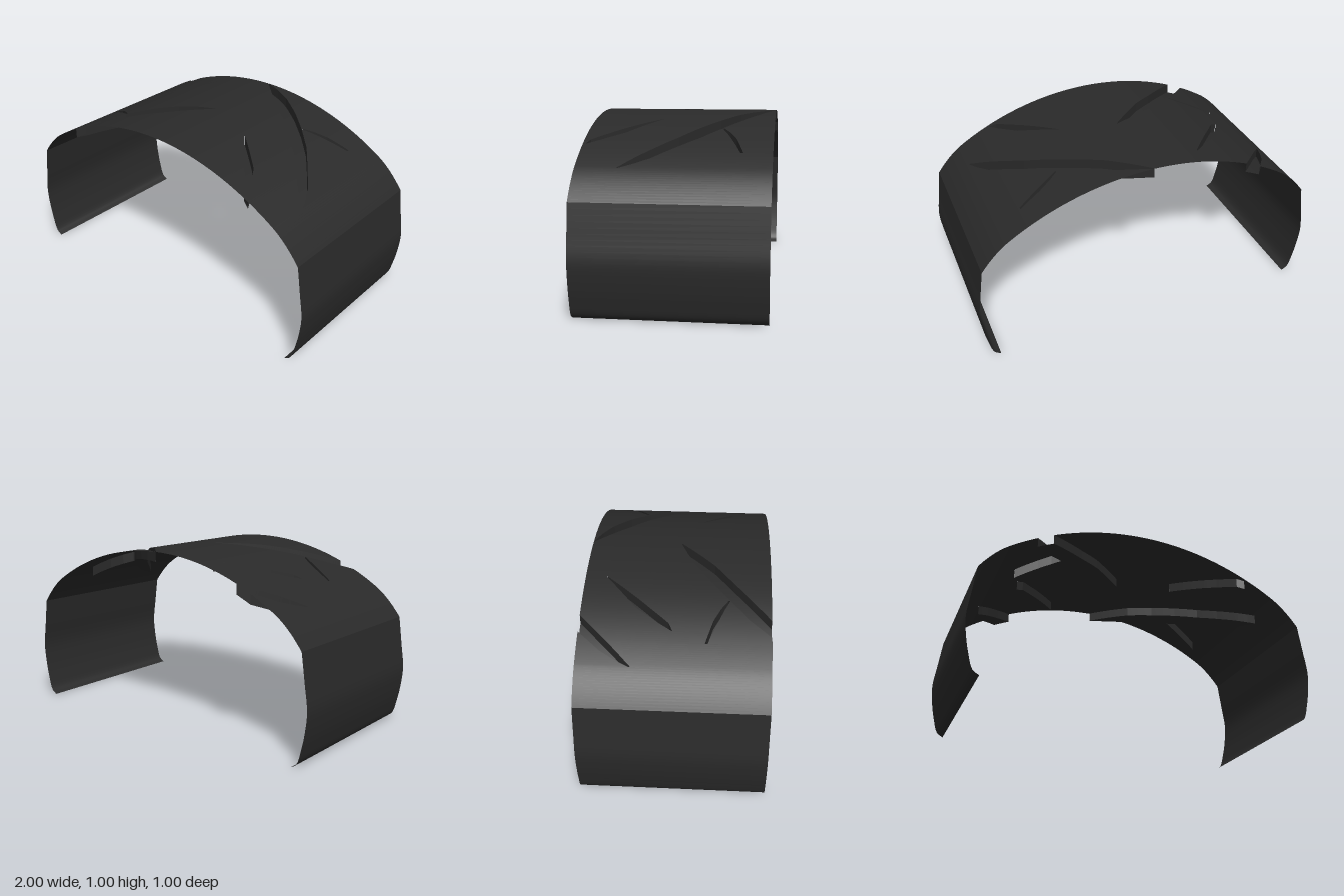
import * as THREE from 'three';

const HALF = 0.5;      // half of the segment's depth
const EDGE = 0.96;     // half width of the tread, up to the shoulder
const DEPTH = 0.055;   // groove depth
const STEP = 0.01;

// Groove outlines on the +x half: [x, back z, front z]
const GROOVES = [
  // long curved groove
  [[0, -0.5, -0.495], [0.1, -0.46, -0.4], [0.2, -0.41, -0.306], [0.33, -0.32, -0.205], [0.45, -0.22, -0.1],
    [0.56, -0.115, 0], [0.65, 0, 0.1], [0.74, 0.12, 0.205], [0.78, 0.2, 0.25], [0.81, 0.275, 0.285]],
  // thin branch
  [[0.45, -0.23, -0.22], [0.5, -0.267, -0.246], [0.57, -0.305, -0.278], [0.69, -0.345, -0.33]],
  // short groove
  [[0.31, 0.115, 0.12], [0.38, 0.175, 0.207], [0.46, 0.245, 0.305], [0.51, 0.29, 0.365],
    [0.59, 0.41, 0.465], [0.63, 0.48, 0.485]],
];

// Crown curve of the tread
function crown(x) {
  const a = Math.abs(x);
  const drop = a > 0.8 ? 1.6 * (a - 0.8) ** 2 : 0;
  return Math.sqrt(1.48 ** 2 - a * a) - 0.48 - drop;
}

function crownNormal(x) {
  const h = 0.002;
  return new THREE.Vector3(-(crown(x + h) - crown(x - h)) / (2 * h), 1, 0).normalize();
}

const clampZ = (z) => THREE.MathUtils.clamp(z, -HALF, HALF);

// Back and front z of a groove at x
function limits(points, x) {
  let i = 1;
  while (i < points.length - 1 && points[i][0] < x) i++;
  const [p, q] = [points[i - 1], points[i]];
  const t = THREE.MathUtils.clamp((x - p[0]) / (q[0] - p[0]), 0, 1);
  return [p[1] + (q[1] - p[1]) * t, p[2] + (q[2] - p[2]) * t];
}

// Grooves crossing one narrow column; the -x side is mirrored and staggered by half a repeat
function columnGrooves(x0, x1) {
  const mid = Math.abs(x0 + x1) / 2;
  const shifts = x0 + x1 > 0 ? [0] : [0.5, -0.5];
  const found = [];
  for (const points of GROOVES) {
    if (mid < points[0][0] || mid > points[points.length - 1][0]) continue;
    for (const s of shifts) {
      const [a0, b0] = limits(points, Math.abs(x0)).map((z) => clampZ(z + s));
      const [a1, b1] = limits(points, Math.abs(x1)).map((z) => clampZ(z + s));
      if (b0 - a0 + b1 - a1 > 1e-5) found.push({ a0, b0, a1, b1 });
    }
  }
  return found.sort((g, h) => g.a0 + g.a1 - h.a0 - h.a1);
}

function addQuad(list, a, b, c, d) {
  for (const p of [a, b, c, a, c, d]) list.push(...p);
}

function geometryFrom(list, smooth) {
  const geometry = new THREE.BufferGeometry();
  geometry.setAttribute('position', new THREE.Float32BufferAttribute(list, 3));
  geometry.computeVertexNormals();
  if (smooth) {
    const normal = geometry.attributes.normal;
    for (let i = 0; i < normal.count; i++) {
      const n = crownNormal(list[i * 3]);
      normal.setXYZ(i, n.x, n.y, n.z);
    }
  }
  return geometry;
}

// Tread skin, groove floors and groove walls, column by column
function buildTread() {
  const skin = [], floors = [], walls = [];
  const n = Math.round(EDGE / STEP);
  for (let i = -n; i < n; i++) {
    const x0 = i * STEP, x1 = (i + 1) * STEP;
    const y0 = crown(x0), y1 = crown(x1);
    const patch = (list, a0, b0, a1, b1, d) => addQuad(list,
      [x0, y0 - d, a0], [x0, y0 - d, b0], [x1, y1 - d, b1], [x1, y1 - d, a1]);
    let z0 = -HALF, z1 = -HALF;
    for (const { a0, b0, a1, b1 } of columnGrooves(x0, x1)) {
      patch(skin, z0, Math.max(a0, z0), z1, Math.max(a1, z1), 0);
      patch(floors, a0, b0, a1, b1, DEPTH);
      if (a0 > -HALF || a1 > -HALF) {
        addQuad(walls, [x0, y0 - DEPTH, a0], [x1, y1 - DEPTH, a1], [x1, y1, a1], [x0, y0, a0]);
      }
      if (b0 < HALF || b1 < HALF) {
        addQuad(walls, [x1, y1 - DEPTH, b1], [x0, y0 - DEPTH, b0], [x0, y0, b0], [x1, y1, b1]);
      }
      z0 = b0;
      z1 = b1;
    }
    patch(skin, z0, HALF, z1, HALF, 0);
  }
  return { skin, floors, walls };
}

// Curved sidewall swept along z
function buildSidewall(side) {
  const profile = [[EDGE, crown(EDGE)], [0.982, 0.45], [1, 0.31], [0.99, 0.2], [0.972, 0.11], [0.945, 0.025], [0.91, 0]];
  const curve = new THREE.CatmullRomCurve3(profile.map(([x, y]) => new THREE.Vector3(side * x, y, 0)));
  const positions = [], index = [];
  curve.getPoints(30).forEach((p, i) => {
    positions.push(p.x, p.y, -HALF, p.x, p.y, HALF);
    if (i === 0) return;
    const a = i * 2 - 2, b = a + 1, c = a + 2, d = a + 3;
    if (side > 0) index.push(a, b, d, a, d, c);
    else index.push(a, d, b, a, c, d);
  });
  const geometry = new THREE.BufferGeometry();
  geometry.setAttribute('position', new THREE.Float32BufferAttribute(positions, 3));
  geometry.setIndex(index);
  geometry.computeVertexNormals();
  return geometry;
}

export function createModel() {
  const rubber = new THREE.MeshStandardMaterial({ color: 0x2a2a2a, side: THREE.DoubleSide });
  rubber.name = 'black rubber';
  const group = new THREE.Group();
  group.name = 'tyreTreadSegment';
  const add = (name, geometry) => {
    const mesh = new THREE.Mesh(geometry, rubber);
    mesh.name = name;
    group.add(mesh);
  };
  const { skin, floors, walls } = buildTread();
  add('tread', geometryFrom(skin, true));
  add('grooveFloors', geometryFrom(floors, true));
  add('grooveWalls', geometryFrom(walls, false));
  add('leftSidewall', buildSidewall(1));
  add('rightSidewall', buildSidewall(-1));
  return group;
}
